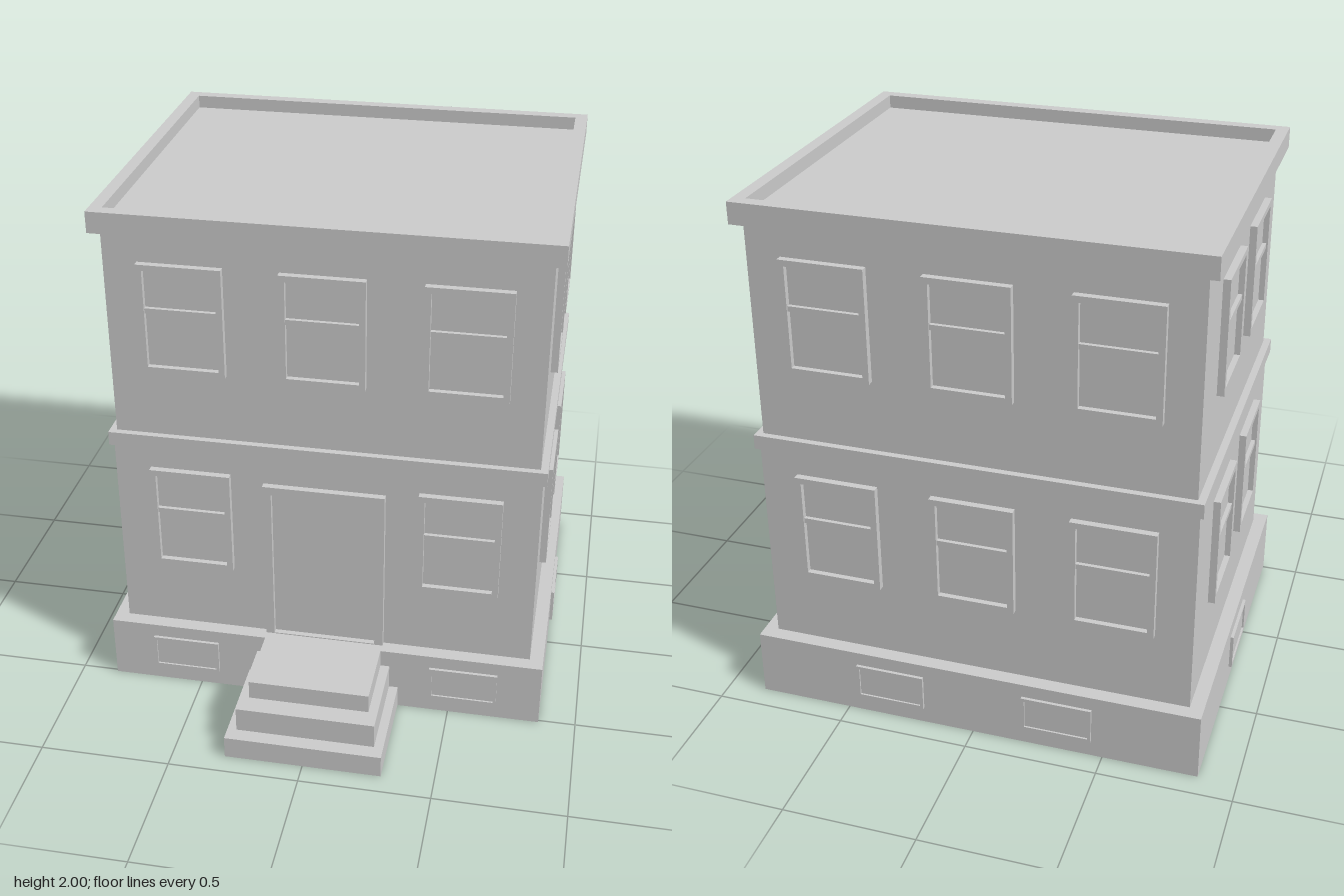
import * as THREE from 'three';

const CENTRE_Z = -0.2; // the house body sits behind the stoop
const material = new THREE.MeshStandardMaterial({ color: 0xcccccc, side: THREE.DoubleSide, flatShading: true });

function add(parent, name, geometry, x = 0, y = 0, z = 0) {
  const mesh = new THREE.Mesh(geometry, material);
  mesh.name = name;
  mesh.position.set(x, y, z);
  parent.add(mesh);
  return mesh;
}

function polygon(points, Type = THREE.Shape) {
  return new Type(points.map(([x, y]) => new THREE.Vector2(x, y)));
}

function rect(x0, y0, x1, y1, Type = THREE.Shape) {
  return polygon([[x0, y0], [x1, y0], [x1, y1], [x0, y1]], Type);
}

// Horizontal surface lying at height y; shape y runs towards -z
function flat(parent, name, shape, y) {
  return add(parent, name, new THREE.ShapeGeometry(shape).rotateX(-Math.PI / 2), 0, y, 0);
}

// Ledge between two concentric rectangles given as [halfWidth, halfDepth]
function ledge(parent, name, outer, inner, y) {
  const shape = rect(-outer[0], -outer[1], outer[0], outer[1]);
  shape.holes.push(rect(-inner[0], -inner[1], inner[0], inner[1], THREE.Path));
  flat(parent, name, shape, y);
}

// Raised frame around a recessed panel, with an optional meeting rail
function framedOpening(parent, o, z) {
  const group = new THREE.Group();
  group.name = o.name;
  group.position.set(o.x, o.y, z);
  parent.add(group);
  const w = o.w / 2, b = o.border, sill = o.sill ?? b;
  const frame = rect(-w, 0, w, o.h);
  frame.holes.push(rect(-w + b, sill, w - b, o.h - b, THREE.Path));
  add(group, 'frame', new THREE.ExtrudeGeometry(frame, { depth: o.depth, bevelEnabled: false }));
  const iw = o.w - 2 * b, ih = o.h - b - sill;
  add(group, 'panel', new THREE.PlaneGeometry(iw, ih), 0, sill + ih / 2, 0.005);
  if (o.rail) add(group, 'meetingRail', new THREE.BoxGeometry(iw, 0.02, 0.015), 0, o.rail, 0.0125);
}

// Wall panel of one storey side, pierced by its openings
function wall(parent, name, angle, halfWidth, distance, y0, y1, openings = [], outline = null) {
  const side = new THREE.Group();
  side.name = name;
  side.rotation.y = angle;
  parent.add(side);
  const shape = outline ? polygon(outline) : rect(-halfWidth, y0, halfWidth, y1);
  for (const o of openings) {
    const w = o.w / 2 - o.border;
    shape.holes.push(rect(o.x - w, o.y + (o.sill ?? o.border), o.x + w, o.y + o.h - o.border, THREE.Path));
    framedOpening(side, o, distance);
  }
  add(side, 'wallPanel', new THREE.ShapeGeometry(shape), 0, 0, distance);
}

// Four walls; openings are listed as front, side, back
function storey(parent, name, [hx, hz], y0, y1, [front, side, back] = [], frontOutline = null) {
  const group = new THREE.Group();
  group.name = name;
  parent.add(group);
  wall(group, 'frontWall', 0, hx, hz, y0, y1, front, frontOutline);
  wall(group, 'leftWall', Math.PI / 2, hz, hx, y0, y1, side);
  wall(group, 'backWall', Math.PI, hx, hz, y0, y1, back);
  wall(group, 'rightWall', -Math.PI / 2, hz, hx, y0, y1, side);
}

const sashWindows = (y, xs) => xs.map((x) => ({
  name: 'sashWindow', x, y, w: 0.31, h: 0.425, border: 0.023, depth: 0.026, rail: 0.245,
}));
const basementWindows = (xs) => xs.map((x) => ({
  name: 'basementWindow', x, y: 0.067, w: 0.265, h: 0.14, border: 0.012, depth: 0.012,
}));

// Hollow tiered stoop, open towards the house
function buildStoop(parent, tiers, zBack, zDoor) {
  const stoop = new THREE.Group();
  stoop.name = 'stoop';
  parent.add(stoop);
  tiers.forEach((t, i) => {
    const h = t.y1 - t.y0, y = t.y0 + h / 2, depth = t.z - zBack;
    add(stoop, 'stepRiser', new THREE.PlaneGeometry(2 * t.x, h), 0, y, t.z);
    for (const s of [1, -1]) {
      add(stoop, 'stepSide', new THREE.PlaneGeometry(depth, h).rotateY(s * Math.PI / 2), s * t.x, y, zBack + depth / 2);
    }
    const n = tiers[i + 1];
    const tread = n
      ? polygon([[-t.x, -zBack], [-t.x, -t.z], [t.x, -t.z], [t.x, -zBack],
        [n.x, -zBack], [n.x, -n.z], [-n.x, -n.z], [-n.x, -zBack]])
      : rect(-t.x, -t.z, t.x, -zDoor);
    flat(stoop, 'stepTread', tread, t.y1);
  });
}

export function createModel() {
  const model = new THREE.Group();
  model.name = 'townhouse';
  const house = new THREE.Group();
  house.name = 'houseBody';
  house.position.z = CENTRE_Z;
  model.add(house);

  // Half width and half depth of each level
  const plinth = [0.857, 0.71], lower = [0.805, 0.655], band = [0.82, 0.672];
  const upper = [0.793, 0.647], cornice = [0.83, 0.682], parapet = [0.783, 0.634];
  const tiers = [
    { x: 0.3, z: 0.92, y0: 0, y1: 0.09 },
    { x: 0.265, z: 0.865, y0: 0.09, y1: 0.19 },
    { x: 0.23, z: 0.79, y0: 0.19, y1: 0.265 },
  ];

  // Plinth, its front cut away in steps where the stoop joins
  const [a, b, c] = tiers;
  const half = [[a.x, 0], [a.x, a.y1], [b.x, a.y1], [b.x, b.y1], [c.x, b.y1], [c.x, 0.26]];
  const outline = [
    ...half, [plinth[0], 0.26], [plinth[0], 0],
  ];
  const mirrored = outline.map(([x, y]) => [-x, y]);
  storey(house, 'plinth', plinth, 0, 0.26,
    [basementWindows([0.555]), basementWindows([0]), basementWindows([-0.325, 0.325])], outline);
  wall(house, 'plinthFrontRight', 0, plinth[0], plinth[1], 0, 0.26, basementWindows([-0.555]), mirrored);
  ledge(house, 'plinthLedge', plinth, lower, 0.26);

  // Lower storey with the front door
  const door = { name: 'frontDoor', x: 0, y: 0.265, w: 0.465, h: 0.68, border: 0.033, sill: 0.004, depth: 0.026 };
  storey(house, 'lowerStorey', lower, 0.26, 1.06, [
    [...sashWindows(0.545, [-0.513, 0.513]), door],
    sashWindows(0.545, [-0.25, 0.25]),
    sashWindows(0.545, [-0.513, 0, 0.513]),
  ]);

  // Belt course between the storeys
  ledge(house, 'beltUnderside', band, lower, 1.06);
  storey(house, 'beltCourse', band, 1.06, 1.115);
  ledge(house, 'beltTop', band, upper, 1.115);

  // Upper storey
  const three = sashWindows(1.385, [-0.513, 0, 0.513]);
  storey(house, 'upperStorey', upper, 1.115, 1.92, [three, sashWindows(1.385, [-0.25, 0.25]), three]);

  // Cornice, parapet and sunken roof
  ledge(house, 'corniceUnderside', cornice, upper, 1.92);
  storey(house, 'cornice', cornice, 1.92, 2);
  ledge(house, 'corniceTop', cornice, parapet, 2);
  storey(house, 'parapetInside', parapet, 1.95, 2);
  flat(house, 'roof', rect(-parapet[0], -parapet[1], parapet[0], parapet[1]), 1.95);

  buildStoop(model, tiers, CENTRE_Z + plinth[1], CENTRE_Z + lower[1]);
  return model;
}
